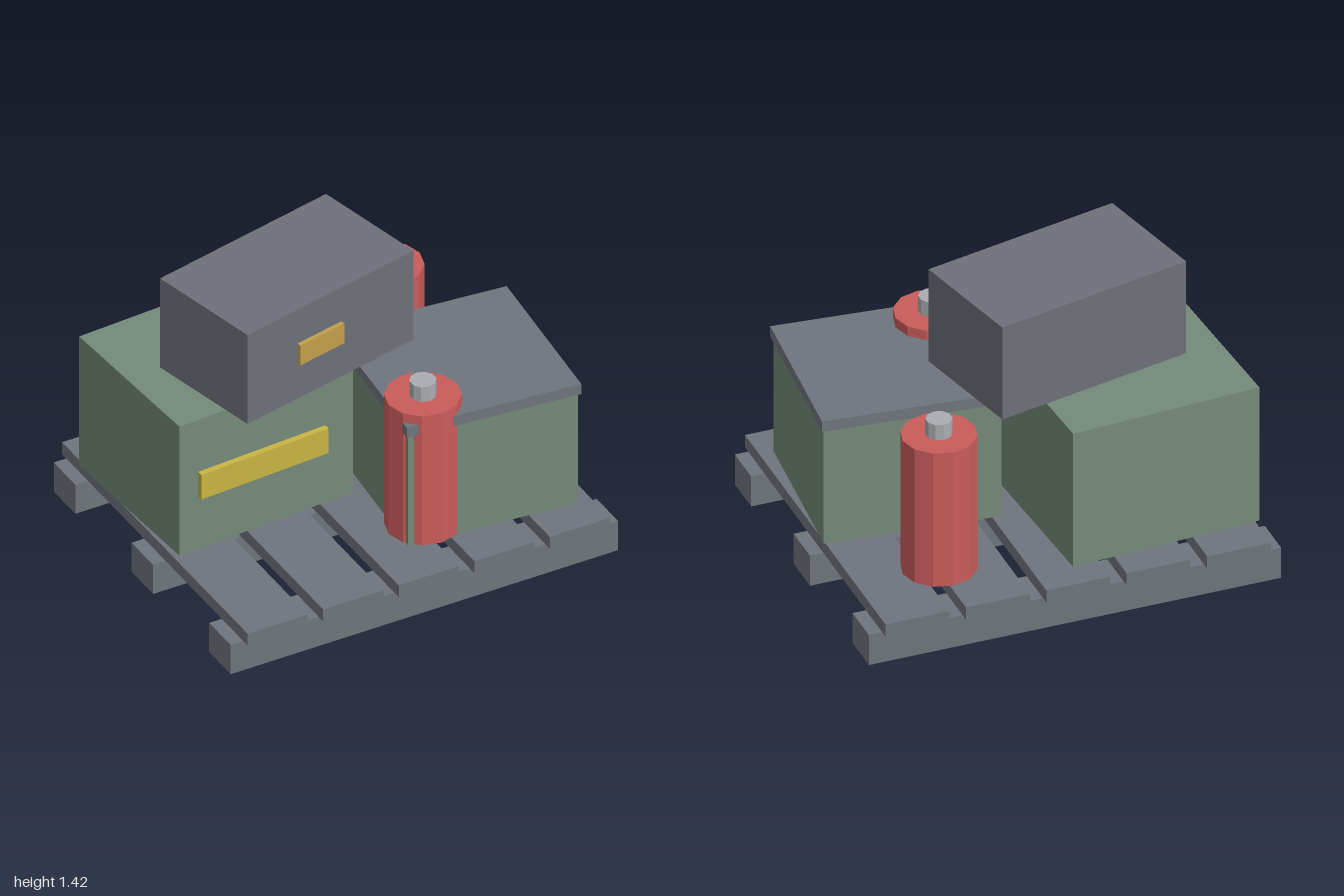
import * as THREE from 'three';

const mat = (name, color) => {
  const m = new THREE.MeshStandardMaterial({ color });
  m.name = name;
  return m;
};

export function createModel() {
  const slate = mat('slate grey', 0x6f747c);
  const steel = mat('dark steel', 0x6d7079);
  const green = mat('dull green', 0x748a79);
  const red = mat('red', 0xca5c5b);
  const yellow = mat('yellow', 0xc8b443);
  const amber = mat('amber', 0xc2a04a);
  const silver = mat('silver', 0xa9adb1);

  const model = new THREE.Group();
  model.name = 'loadedPallet';

  const group = (name, x, y, z, turn = 0) => {
    const g = new THREE.Group();
    g.name = name;
    g.position.set(x, y, z);
    g.rotation.y = turn;
    model.add(g);
    return g;
  };
  const add = (parent, name, geometry, material, x, y, z) => {
    const mesh = new THREE.Mesh(geometry, material);
    mesh.name = name;
    mesh.position.set(x, y, z);
    parent.add(mesh);
  };
  // box standing on height y
  const box = (parent, name, material, [w, h, d], x, y, z) =>
    add(parent, name, new THREE.BoxGeometry(w, h, d), material, x, y + h / 2, z);

  // pallet: three runners under five slats
  const deck = 0.225;
  const pallet = group('pallet', 0, 0, 0);
  for (const z of [-0.72, 0, 0.72]) box(pallet, 'runner', slate, [2, 0.16, 0.2], 0, 0, z);
  for (let i = -2; i <= 2; i++) box(pallet, 'slat', slate, [0.31, 0.065, 1.72], i * 0.39, 0.16, 0);

  // large green crate with a label plate
  const crate = group('largeCrate', -0.468, deck, -0.272, 0.06);
  box(crate, 'crateBody', green, [0.927, 0.71, 0.842], 0, 0, 0);
  box(crate, 'crateLabel', yellow, [0.68, 0.135, 0.03], -0.025, 0.29, 0.436);

  // green crate with a lid
  const lidded = group('liddedCrate', 0.488, deck, 0.243, -0.095);
  box(lidded, 'liddedCrateBody', green, [0.835, 0.605, 0.813], 0, 0, 0);
  box(lidded, 'lid', slate, [0.859, 0.055, 0.839], 0, 0.605, 0);

  // grey case lying across the crates
  const chest = group('topCase', -0.2025, 0.935, -0.0925, 0.217);
  box(chest, 'caseBody', steel, [1, 0.49, 0.595], 0, 0, 0);
  box(chest, 'caseLabel', amber, [0.265, 0.11, 0.02], -0.067, 0.193, 0.3075);

  // gas canisters with a faceted valve
  const faceted = (r, h, sides) => new THREE.CylinderGeometry(r, r, h, sides).toNonIndexed();
  for (const [x, z] of [[0.178, 0.485], [0.53, -0.492]]) {
    const canister = group('canister', x, deck, z);
    const body = faceted(0.176, 0.71, 12);
    const valve = faceted(0.062, 0.08, 10);
    body.computeVertexNormals();
    valve.computeVertexNormals();
    add(canister, 'canisterBody', body, red, 0, 0.355, 0);
    add(canister, 'valve', valve, silver, 0, 0.75, 0);
  }
  return model;
}
